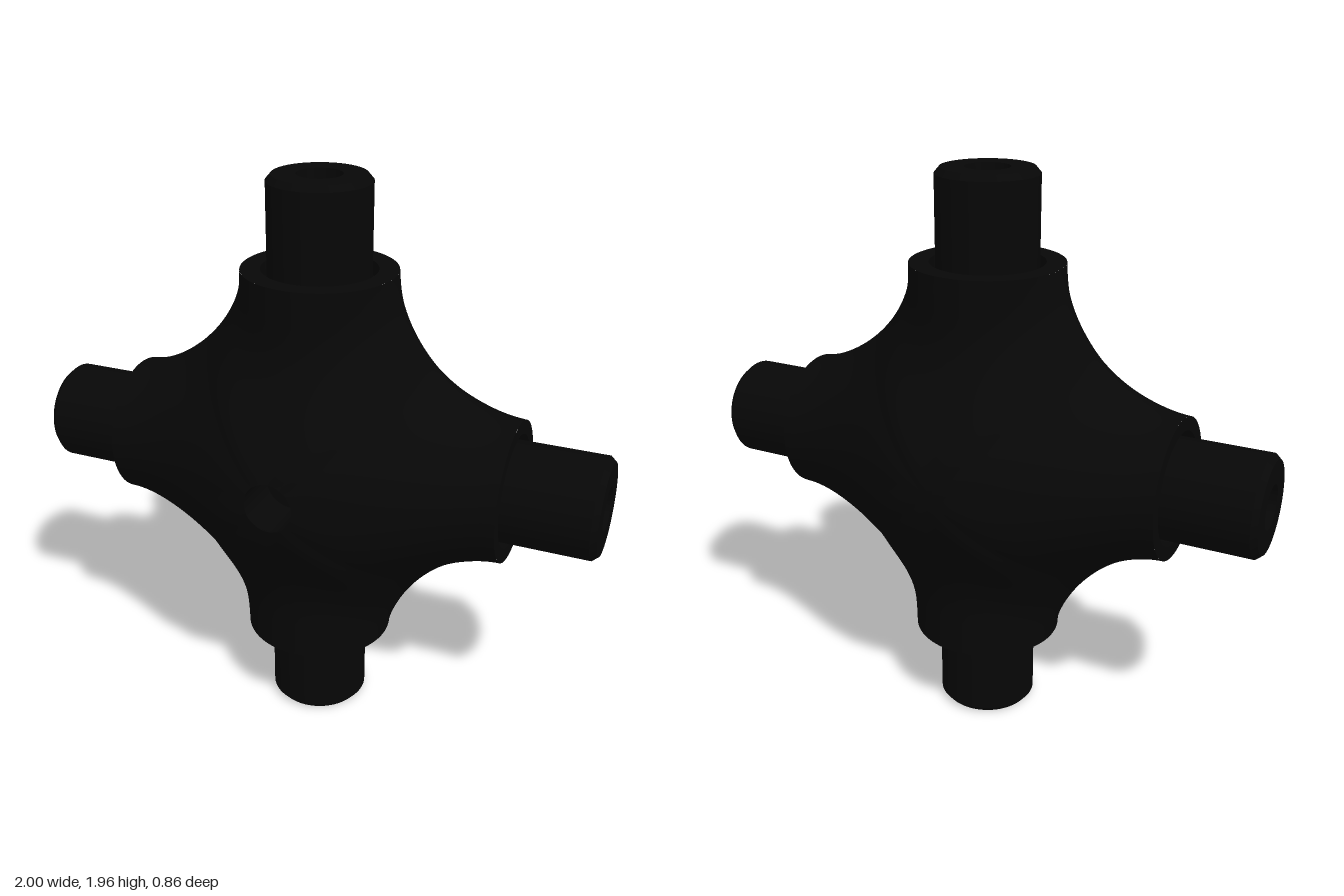
import * as THREE from 'three';
import { mergeVertices, toCreasedNormals } from 'three/addons/utils/BufferGeometryUtils.js';

const black = new THREE.MeshStandardMaterial({ color: 0x070707 });
black.name = 'black';

const VERT = { collar: 0.26, length: 0.675, end: 0.98 };
const HORI = { collar: 0.24, length: 0.695, end: 1 };
const HOLE = 0.085, FACE = 0.425, DEPTH = 0.43;
// Concave outline between two collars: a 70 degree arc
const ARC = { x: 0.788, y: 0.768, r: 0.536, start: Math.PI / 18, span: Math.PI * 7 / 18 };
const bell = (r) => 0.5 + 0.5 * Math.cos(Math.PI * Math.min(1, r));

// Point of one eighth of the body: u runs from the upper collar to the side
// collar, v from the middle line out to the concave outline.
function bodyPoint(u, v) {
  const a = ARC.start + u * ARC.span, phi = v * Math.PI / 2, s = Math.sin(phi);
  const px = ARC.x - ARC.r * Math.cos(a);
  const py = ARC.y - ARC.r * Math.sin(a);
  const along = Math.abs(2 * u - 1) ** 1.5;
  const web = Math.sin(Math.PI * u);
  const bend = Math.pow(s, 2 - web ** 3);
  const round = Math.pow(Math.max(0, Math.cos(phi)), 1 + 0.55 * web);
  if (u <= 0.5) {
    const y = VERT.length * along;
    const h = VERT.collar + (DEPTH - VERT.collar) * bell(y / 0.52);
    return [px * s, y + (py - y) * bend, h * round];
  }
  const x = HORI.length * along;
  const h = HORI.collar + (DEPTH - HORI.collar) * bell(x / HORI.length);
  return [x + (px - x) * bend, py * s, h * round];
}

// Eight mirrored patches, with a round opening left in the front
function bodyGeometry() {
  const NU = 48, NV = 24, pos = [], index = [];
  for (const sx of [1, -1]) for (const sy of [1, -1]) for (const sz of [1, -1]) {
    const base = pos.length / 3, inHole = [];
    for (let i = 0; i <= NU; i++) for (let j = 0; j <= NV; j++) {
      let [x, y, z] = bodyPoint(i / NU, j / NV);
      if (j === NV) z = 0;
      const r = Math.hypot(x, y);
      const cut = sz > 0 && r <= HOLE;
      inHole.push(cut);
      if (cut && r > 0) { x *= HOLE / r; y *= HOLE / r; }
      if (sz > 0) z = Math.min(z, FACE);
      pos.push(sx * x, sy * y, sz * z);
    }
    const tri = (a, b, c) => {
      if (inHole[a] && inHole[b] && inHole[c]) return;
      if (sx * sy * sz > 0) index.push(base + a, base + b, base + c);
      else index.push(base + a, base + c, base + b);
    };
    for (let i = 0; i < NU; i++) for (let j = 0; j < NV; j++) {
      const a = i * (NV + 1) + j, b = a + NV + 1;
      tri(a, b, b + 1);
      tri(a, b + 1, a + 1);
    }
  }
  const g = new THREE.BufferGeometry();
  g.setAttribute('position', new THREE.Float32BufferAttribute(pos, 3));
  g.setIndex(index);
  const merged = mergeVertices(g, 1e-5);
  merged.computeVertexNormals();
  return merged;
}

function lathe(name, profile) {
  const g = new THREE.LatheGeometry(profile.map(([r, y]) => new THREE.Vector2(r, y)), 96);
  const mesh = new THREE.Mesh(toCreasedNormals(g, 0.5), black);
  mesh.name = name;
  return mesh;
}

// Recessed collar rim with a chamfered, bored tube standing in it
function arm({ collar, length, end }) {
  const group = new THREE.Group();
  const seat = length - 0.05;
  group.add(lathe('collarRim', [[collar, length], [0.193, length], [0.193, seat], [0.165, seat]]));
  group.add(lathe('tube', [
    [0.172, seat - 0.02], [0.172, end - 0.02], [0.155, end],
    [0.075, end], [0.07, end - 0.2], [0, end - 0.2],
  ]));
  return group;
}

export function createModel() {
  const model = new THREE.Group();
  model.name = 'crossFitting';

  const body = new THREE.Mesh(bodyGeometry(), black);
  body.name = 'body';
  model.add(body);

  // Four arms, counter-clockwise from the top
  ['topArm', 'rightArm', 'bottomArm', 'leftArm'].forEach((name, k) => {
    const a = arm(k % 2 ? HORI : VERT);
    a.name = name;
    a.rotation.z = k * Math.PI / 2;
    model.add(a);
  });

  // Blind hole in the front: wall and floor
  const hole = lathe('frontHole', [[HOLE, FACE], [HOLE, 0.25], [0, 0.25]]);
  hole.rotation.x = Math.PI / 2;
  model.add(hole);

  model.position.set(0, 0.98, 0.003);
  const root = new THREE.Group();
  root.add(model);
  return root;
}
